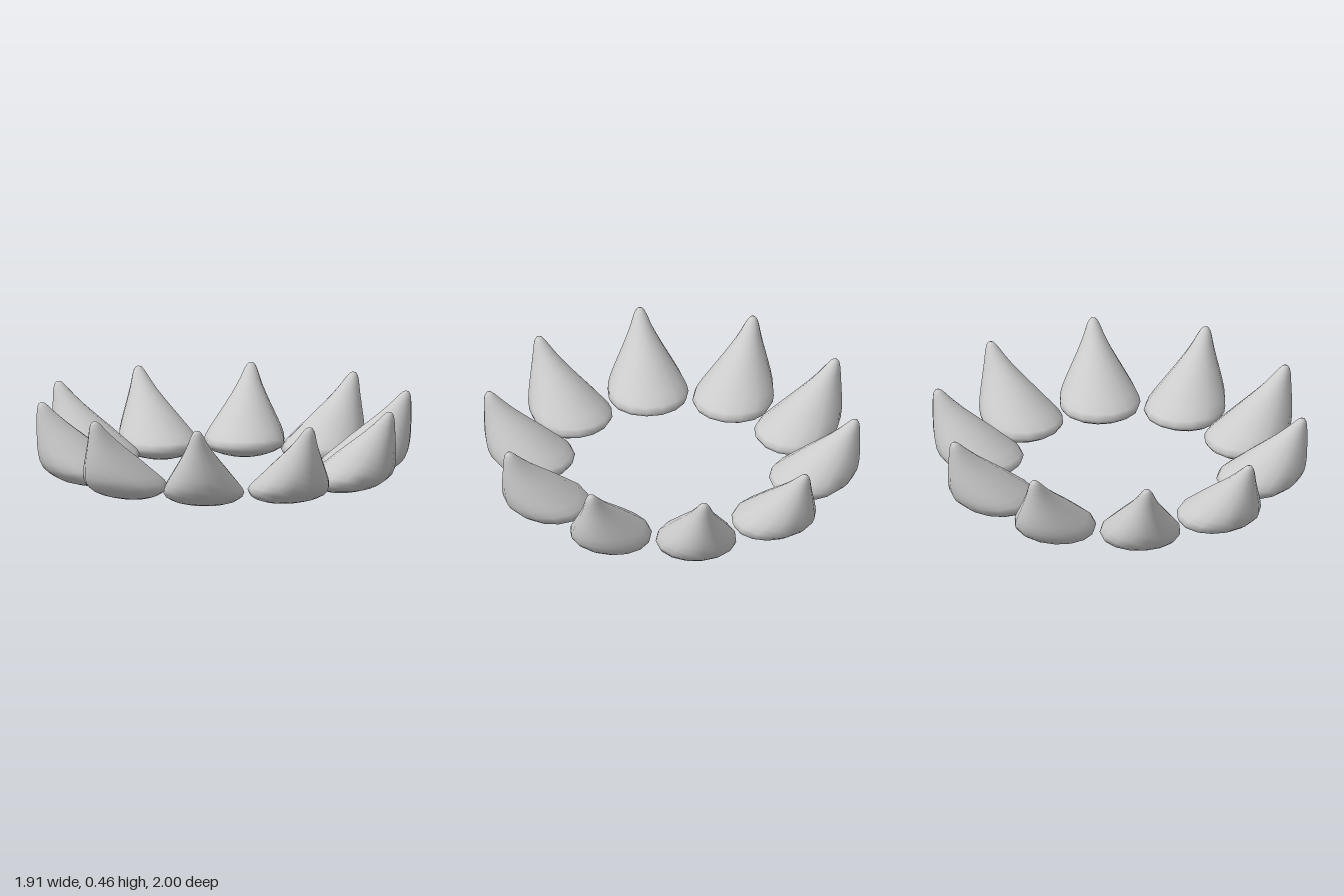
import * as THREE from 'three';

const SIDES = 15;
const COUNT = 10;

// Horizontal sections of one spike: [height, inner z, outer z, half width]
const SECTIONS = [
  [0.007, 0.645, 0.73, 0.065],
  [0.018, 0.605, 0.80, 0.118],
  [0.034, 0.565, 0.86, 0.168],
  [0.055, 0.532, 0.905, 0.202],
  [0.08, 0.517, 0.94, 0.214],
  [0.105, 0.532, 0.965, 0.209],
  [0.14, 0.575, 0.983, 0.191],
  [0.18, 0.625, 0.992, 0.166],
  [0.22, 0.674, 0.997, 0.141],
  [0.26, 0.727, 0.999, 0.116],
  [0.30, 0.78, 1.0, 0.092],
  [0.34, 0.832, 1.0, 0.07],
  [0.38, 0.879, 1.0, 0.051],
  [0.41, 0.912, 0.999, 0.039],
  [0.435, 0.938, 0.995, 0.027],
  [0.449, 0.954, 0.987, 0.016],
];

// Closed skin through the elliptical sections, with a pole at each end
function spikeGeometry() {
  const positions = [];
  const index = [];
  for (const [y, inner, outer, halfWidth] of SECTIONS) {
    const centre = (inner + outer) / 2;
    const depth = (outer - inner) / 2;
    for (let i = 0; i < SIDES; i++) {
      const t = (i / SIDES) * Math.PI * 2;
      positions.push(halfWidth * Math.sin(t), y, centre + depth * Math.cos(t));
    }
  }
  const bottom = SECTIONS.length * SIDES;
  const top = bottom + 1;
  positions.push(0, 0, 0.685, 0, 0.455, 0.971);

  const last = (SECTIONS.length - 1) * SIDES;
  for (let i = 0; i < SIDES; i++) {
    const next = (i + 1) % SIDES;
    index.push(bottom, next, i);
    index.push(top, last + i, last + next);
    for (let row = 0; row < last; row += SIDES) {
      index.push(row + i, row + next, row + SIDES + i);
      index.push(row + next, row + SIDES + next, row + SIDES + i);
    }
  }
  const geometry = new THREE.BufferGeometry();
  geometry.setAttribute('position', new THREE.Float32BufferAttribute(positions, 3));
  geometry.setIndex(index);
  geometry.computeVertexNormals();
  return geometry;
}

export function createModel() {
  const model = new THREE.Group();
  model.name = 'spikeRing';
  const material = new THREE.MeshStandardMaterial({ color: 0xcccccc });
  const geometry = spikeGeometry();

  // Ring of spikes, each leaning outward
  for (let i = 0; i < COUNT; i++) {
    const spike = new THREE.Mesh(geometry, material);
    spike.name = `spike${i + 1}`;
    spike.rotation.y = (i / COUNT) * Math.PI * 2;
    model.add(spike);
  }
  return model;
}
